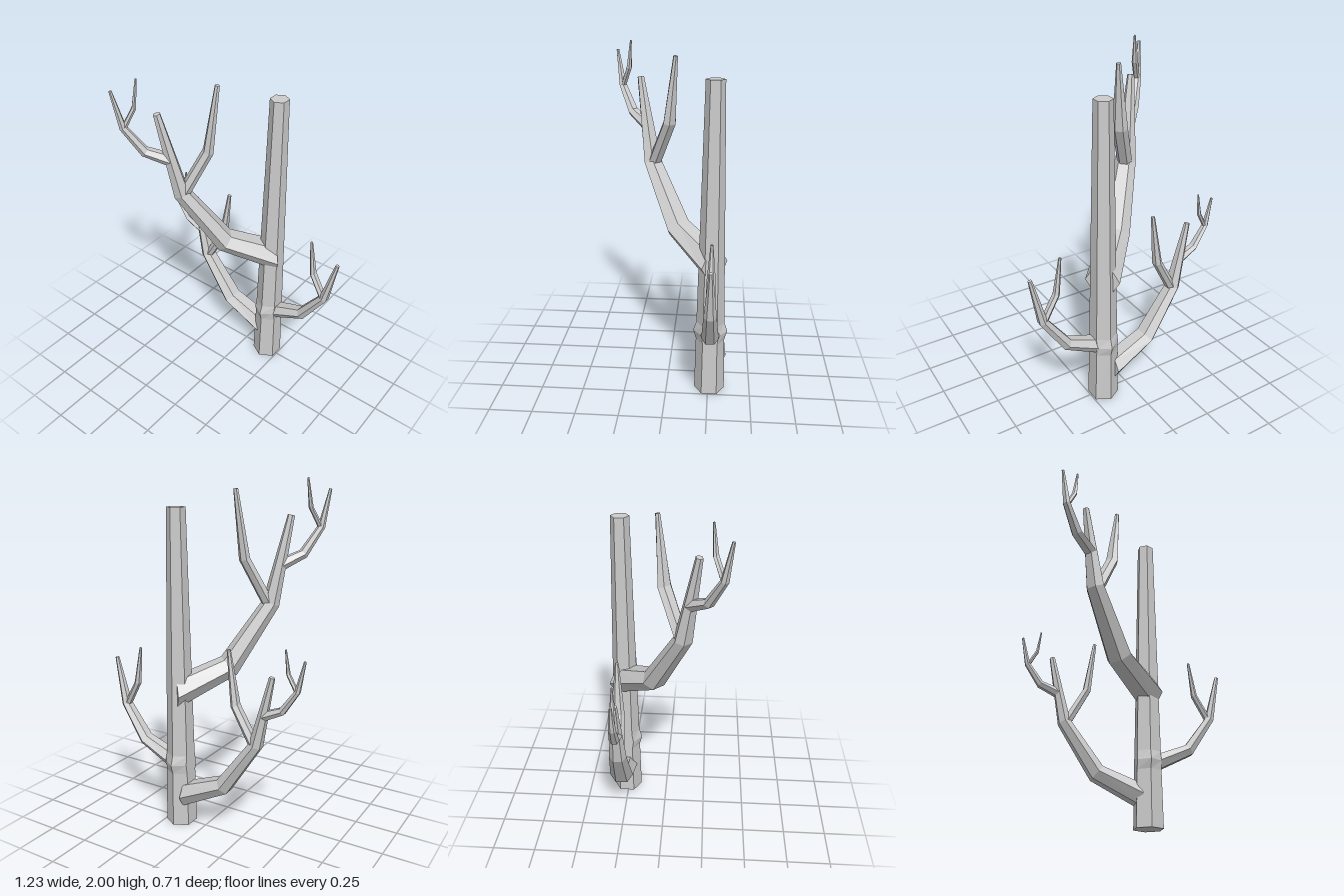
import * as THREE from 'three';

const material = new THREE.MeshStandardMaterial({ color: 0xcccccc, flatShading: true });
const SIDES = 6;

// Hexagonal limb along a path in the xy plane.
// Each station: [x, y, half width in z, half thickness in plane, optional heading angle]
function limb(name, stations) {
  const pos = [], index = [];
  const heading = (a, b) => Math.atan2(b[1] - a[1], b[0] - a[0]);
  stations.forEach((s, j) => {
    const prev = stations[Math.max(j - 1, 0)];
    const next = stations[Math.min(j + 1, stations.length - 1)];
    let angle = s[4];
    if (angle === undefined) {
      if (prev === s) angle = heading(s, next);
      else if (next === s) angle = heading(prev, s);
      else angle = (heading(prev, s) + heading(s, next)) / 2;
    }
    for (let i = 0; i < SIDES; i++) {
      const a = Math.PI / 6 + (i * 2 * Math.PI) / SIDES;
      const n = (Math.cos(a) / Math.cos(Math.PI / 6)) * s[3];
      pos.push(s[0] - Math.sin(angle) * n, s[1] + Math.cos(angle) * n, Math.sin(a) * s[2]);
    }
  });
  const last = (stations.length - 1) * SIDES;
  for (let j = 0; j < last; j += SIDES) {
    for (let i = 0; i < SIDES; i++) {
      const a = j + i, b = j + (i + 1) % SIDES;
      index.push(a, b, b + SIDES, a, b + SIDES, a + SIDES);
    }
  }
  // End caps
  for (let i = 1; i < SIDES - 1; i++) {
    index.push(0, i + 1, i, last, last + i, last + i + 1);
  }
  const geometry = new THREE.BufferGeometry();
  geometry.setAttribute('position', new THREE.Float32BufferAttribute(pos, 3));
  geometry.setIndex(index);
  geometry.computeVertexNormals();
  const mesh = new THREE.Mesh(geometry, material);
  mesh.name = name;
  return mesh;
}

// Forked branch growing along local +x; optionally carries a smaller copy of itself
function branch(name, scale, hasTwig) {
  const group = new THREE.Group();
  group.name = name;
  group.add(limb('mainStem', [
    [0, 0, 0.1, 0.08, 0],
    [0.313, 0.14, 0.085, 0.058],
    [0.557, 0.495, 0.062, 0.042],
    [0.665, 0.985, 0.02, 0.018],
  ]));
  group.add(limb('innerFork', [
    [0.545, 0.485, 0.045, 0.03],
    [0.4, 0.75, 0.046, 0.027],
    [0.348, 1.13, 0.013, 0.012],
  ]));
  if (hasTwig) {
    const twig = branch('outerTwig', 0.42, false);
    twig.position.set(0.61, 0.71, 0);
    group.add(twig);
  }
  group.scale.setScalar(scale);
  return group;
}

export function createModel() {
  const model = new THREE.Group();
  model.name = 'bareTree';

  // Tapered trunk with a slight knot low down
  const trunk = limb('trunk', [
    [0, 0, 0.09, 0.078],
    [0, 0.33, 0.084, 0.072],
    [0, 0.385, 0.1, 0.071],
    [0, 0.44, 0.082, 0.07],
    [0, 1.85, 0.053, 0.045],
  ]);
  trunk.position.set(0.165, 0, -0.258);
  model.add(trunk);

  // Branches: name, scale, twig, root position, turn about y
  const branches = [
    ['upperFrontBranch', 1, true, [0.18, 0.81, -0.275], Math.PI + 0.77],
    ['lowerRightBranch', 0.815, true, [0.12, 0.19, -0.272], Math.PI + 0.05],
    ['lowerLeftBranch', 0.57, false, [0.235, 0.39, -0.26], 0],
  ];
  for (const [name, scale, hasTwig, root, turn] of branches) {
    const b = branch(name, scale, hasTwig);
    b.position.set(...root);
    b.rotation.y = turn;
    model.add(b);
  }
  return model;
}
